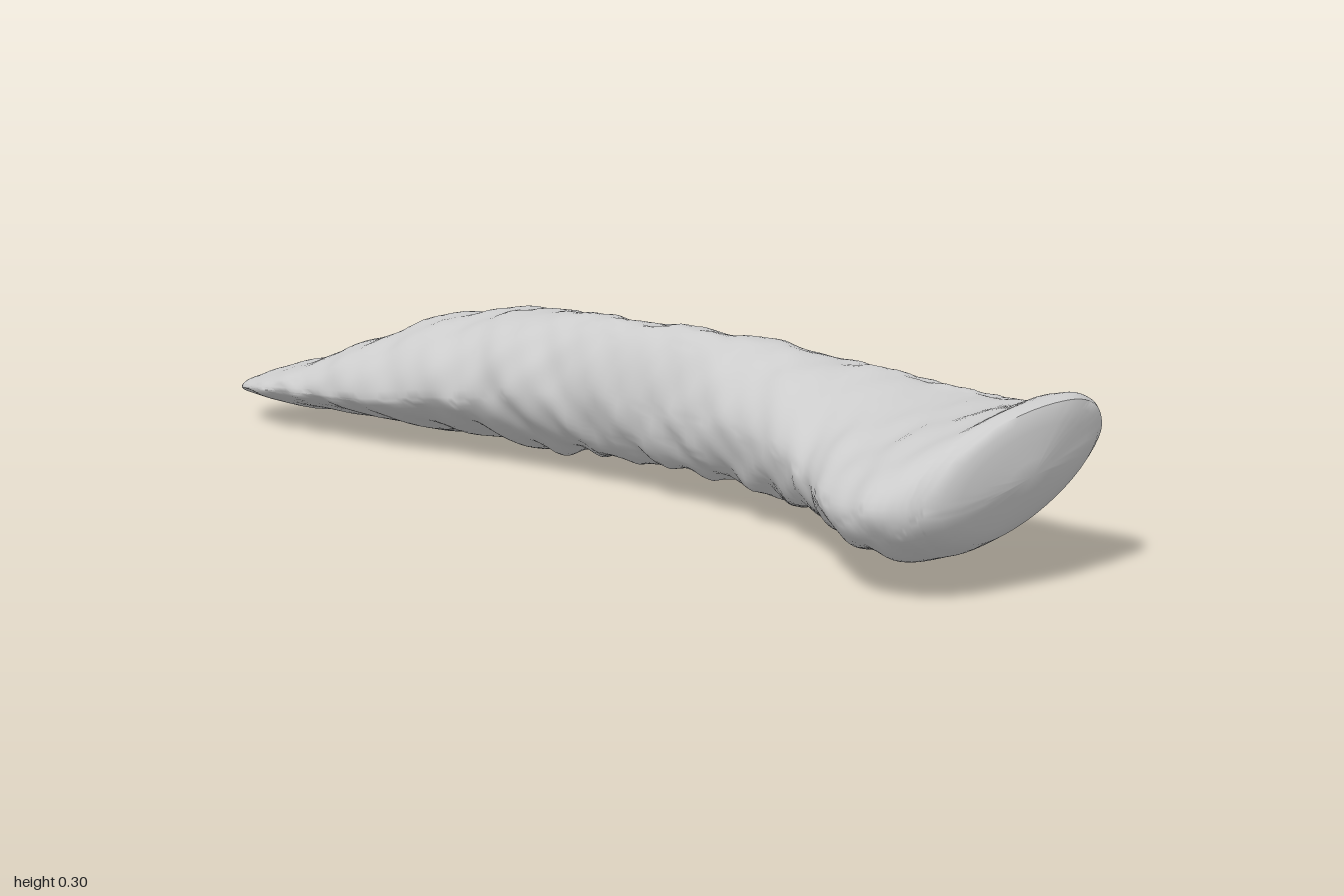
import * as THREE from 'three';
import { toCreasedNormals } from 'three/addons/utils/BufferGeometryUtils.js';

// Stations along the length: x, then (z, y) of the front, top, back and bottom ridges
const STATIONS = [
  [-0.995, 0.08, 0.065, 0.00, 0.077, -0.08, 0.065, 0.00, 0.055],
  [-0.95, 0.15, 0.067, -0.02, 0.095, -0.17, 0.07, -0.04, 0.033],
  [-0.85, 0.178, 0.08, -0.04, 0.125, -0.205, 0.075, -0.11, 0.017],
  [-0.70, 0.168, 0.09, -0.05, 0.18, -0.235, 0.075, -0.15, 0.014],
  [-0.54, 0.148, 0.10, -0.06, 0.235, -0.27, 0.085, -0.165, 0.01],
  [-0.40, 0.12, 0.12, -0.07, 0.262, -0.26, 0.145, -0.14, 0.013],
  [-0.30, 0.10, 0.13, -0.06, 0.275, -0.24, 0.18, -0.11, 0.018],
  [-0.20, 0.085, 0.15, -0.05, 0.283, -0.175, 0.19, -0.06, 0.028],
  [-0.07, 0.058, 0.16, -0.03, 0.291, -0.138, 0.20, -0.04, 0.044],
  [0.20, 0.05, 0.16, -0.04, 0.295, -0.165, 0.22, -0.03, 0.055],
  [0.40, 0.067, 0.16, -0.09, 0.28, -0.172, 0.23, -0.01, 0.055],
  [0.60, 0.13, 0.14, -0.13, 0.257, -0.19, 0.23, 0.03, 0.052],
  [0.75, 0.225, 0.13, -0.13, 0.252, -0.18, 0.23, 0.08, 0.053],
  [0.88, 0.274, 0.14, -0.10, 0.266, -0.187, 0.235, 0.11, 0.052],
  [0.96, 0.25, 0.145, -0.06, 0.293, -0.175, 0.24, 0.11, 0.058],
  [0.985, 0.225, 0.15, -0.05, 0.288, -0.16, 0.235, 0.10, 0.07],
];
// How far each ridge falls short of the broad end, so that its face leans
const LEAN = [0.02, 0, 0.02, 0.05];
const RINGS = 150, SIDES = 64;
const { lerp, smoothstep } = THREE.MathUtils;

// Weathered dimples all round, with broken crosswise ribs on the underside
function roughness(x, a) {
  const lumps = 0.003 * Math.sin(23 * x + 1) * Math.sin(3 * a + 5 * x)
    + 0.003 * Math.sin(41 * x + 2.3) * Math.sin(5 * a - 7 * x)
    + 0.002 * Math.sin(71 * x) * Math.sin(8 * a + 9 * x);
  const under = Math.max(0, 0.35 - Math.sin(a)) / 1.35;
  const ribs = Math.sin(57 * x + Math.sin(2 * a) + Math.sin(9 * x))
    * (0.6 + 0.4 * Math.sin(6 * a + 17 * x));
  return (lumps + 0.006 * under * ribs) * smoothstep(1 - Math.abs(x), 0.01, 0.1);
}

// One closed section made of four quarter arcs between the ridges
function section(ridges, t) {
  const [front, top, back, bottom] = ridges.map((curve) => curve.getPoint(t));
  const shaft = smoothstep(front.x, -0.4, 0.1);
  return Array.from({ length: SIDES }, (_, j) => {
    const a = (j / SIDES) * Math.PI * 2, c = Math.cos(a), s = Math.sin(a);
    const side = c >= 0 ? front : back, cap = s >= 0 ? top : bottom;
    // Powers above one cut a quarter straighter than an ellipse
    let power = 1;
    if (c < 0 && s < 0) power = lerp(1, 1.3, shaft);
    if (c > 0 && s > 0) power = lerp(1, 1.15, shaft);
    if (c > 0 && s < 0) power = lerp(1.25, 1, shaft);
    const u = Math.abs(c) ** power, v = Math.abs(s) ** power;
    const r = roughness(front.x, a);
    return new THREE.Vector3(
      lerp(side.x, cap.x, s * s),
      side.y + (cap.y - side.y) * v + r * s,
      cap.z + (side.z - cap.z) * u + r * c,
    );
  });
}

// Smaller copies of an end section that close it toward a gently domed point
function endRings(ring, tipX) {
  const mid = ring.reduce((sum, p) => sum.add(p), new THREE.Vector3()).divideScalar(SIDES);
  return [0.12, 0.3, 0.5, 0.75, 0.999].map((k) => ring.map((p) => {
    const q = p.clone().lerp(mid, k);
    q.x = lerp(p.x, tipX, Math.sqrt(k));
    return q;
  }));
}

function shaftGeometry() {
  const ridges = LEAN.map((lean, n) => new THREE.CatmullRomCurve3(STATIONS.map((s) =>
    new THREE.Vector3(s[0] - lean * smoothstep(s[0], 0.8, 1), s[2 * n + 2], s[2 * n + 1]))));
  const body = Array.from({ length: RINGS + 1 }, (_, i) => section(ridges, i / RINGS));
  const rings = [...endRings(body[0], -1).reverse(), ...body, ...endRings(body[RINGS], 1)];
  const index = [];
  for (let i = 0; i < rings.length - 1; i++) {
    for (let j = 0; j < SIDES; j++) {
      const k = (j + 1) % SIDES;
      const a = i * SIDES + j, b = a + SIDES, c = i * SIDES + k, d = c + SIDES;
      index.push(a, b, c, b, d, c);
    }
  }
  const geometry = new THREE.BufferGeometry().setFromPoints(rings.flat());
  geometry.setIndex(index);
  return toCreasedNormals(geometry, 0.8);
}

export function createModel() {
  const group = new THREE.Group();
  group.name = 'bone';
  const material = new THREE.MeshStandardMaterial({ color: 0xcccccc });
  const shaft = new THREE.Mesh(shaftGeometry(), material);
  shaft.name = 'boneShaft';
  group.add(shaft);
  return group;
}
